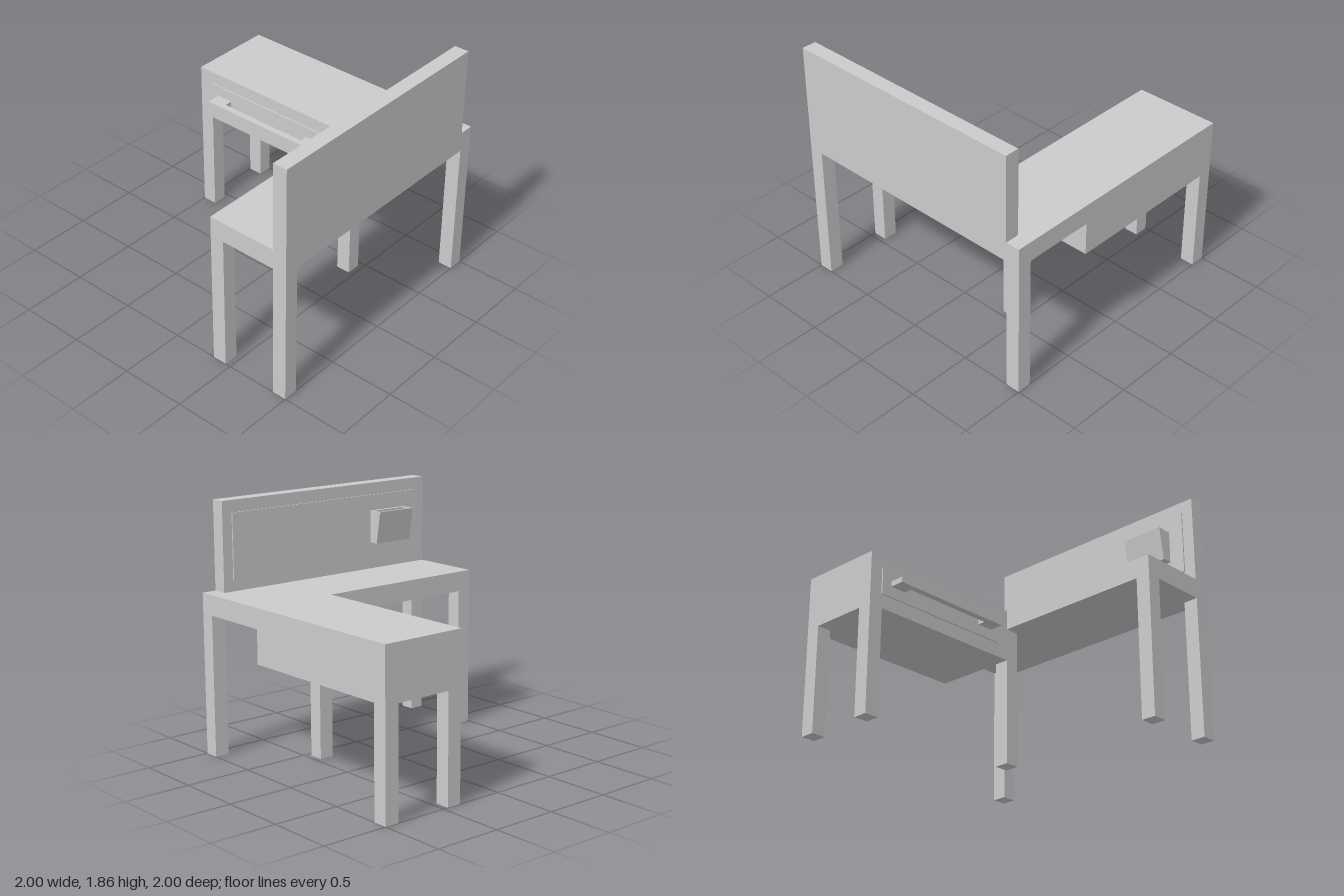
import * as THREE from 'three';

const material = new THREE.MeshStandardMaterial({ color: 0xcccccc, flatShading: true });

export function createModel() {
  const desk = new THREE.Group();
  desk.name = 'cornerDesk';

  const add = (name, geometry, parent = desk) => {
    const mesh = new THREE.Mesh(geometry, material);
    mesh.name = name;
    parent.add(mesh);
    return mesh;
  };
  // Box given by its limits along each axis
  const box = (name, [x0, x1], [y0, y1], [z0, z1], parent) => {
    const geometry = new THREE.BoxGeometry(x1 - x0, y1 - y0, z1 - z0);
    geometry.translate((x0 + x1) / 2, (y0 + y1) / 2, (z0 + z1) / 2);
    return add(name, geometry, parent);
  };
  // Straight-sided outline extruded along its normal
  const slab = (points, depth) => new THREE.ExtrudeGeometry(
    new THREE.Shape(points.map(([x, y]) => new THREE.Vector2(x, y))),
    { depth, bevelEnabled: false });

  // L-shaped tabletop
  const top = slab([[-1, 0.35], [0.35, 0.35], [0.35, -1], [1, -1], [1, 1], [-1, 1]], 0.15);
  top.rotateX(-Math.PI / 2).translate(0, 1.05, 0);
  add('tabletop', top);

  // Drawer case under the back wing
  box('drawerCase', [-1, 0.35], [0.8, 1.05], [-1, -0.35]);

  // Six square legs: [x, z, height] of the lower corner
  const leg = 0.11;
  for (const [x, z, h] of [
    [-1, -1, 0.8], [-1, -0.46, 0.8], [0.35, -0.46, 1.05],
    [0.89, -1, 1.05], [0.35, 0.89, 1.05], [0.89, 0.89, 1.05],
  ]) box('leg', [x, x + leg], [0, h], [z, z + leg]);

  // Drawer front with a bar handle on two posts
  const drawer = new THREE.Group();
  drawer.name = 'drawer';
  desk.add(drawer);
  box('drawerFront', [-0.9, 0.25], [0.905, 1.105], [-0.35, -0.34], drawer);
  const handle = slab([
    [-0.82, 0.34], [-0.82, 0.23], [0.17, 0.23], [0.17, 0.34],
    [0.04, 0.34], [0.04, 0.28], [-0.69, 0.28], [-0.69, 0.34],
  ], 0.04);
  handle.rotateX(-Math.PI / 2).translate(0, 0.985, 0);
  add('drawerHandle', handle, drawer);

  // Upright divider with a thin pin board
  box('divider', [0.89, 1], [1.2, 1.86], [-0.89, 1]);
  box('pinBoard', [0.88, 0.89], [1.29, 1.77], [-0.81, 0.91]);

  // Open-topped paper bin with a slanted front
  const bin = new THREE.Group();
  bin.name = 'paperBin';
  desk.add(bin);
  const outer = [[0.765, 1.65], [0.805, 1.405], [0.88, 1.405], [0.88, 1.65]];
  const inner = [[0.855, 1.65], [0.855, 1.43], [0.816, 1.43], [0.78, 1.65]];
  add('binTrough', slab([...outer, ...inner], 0.3).translate(0, 0, 0.475), bin);
  for (const z of [0.46, 0.775]) add('binEnd', slab(outer, 0.015).translate(0, 0, z), bin);

  return desk;
}
